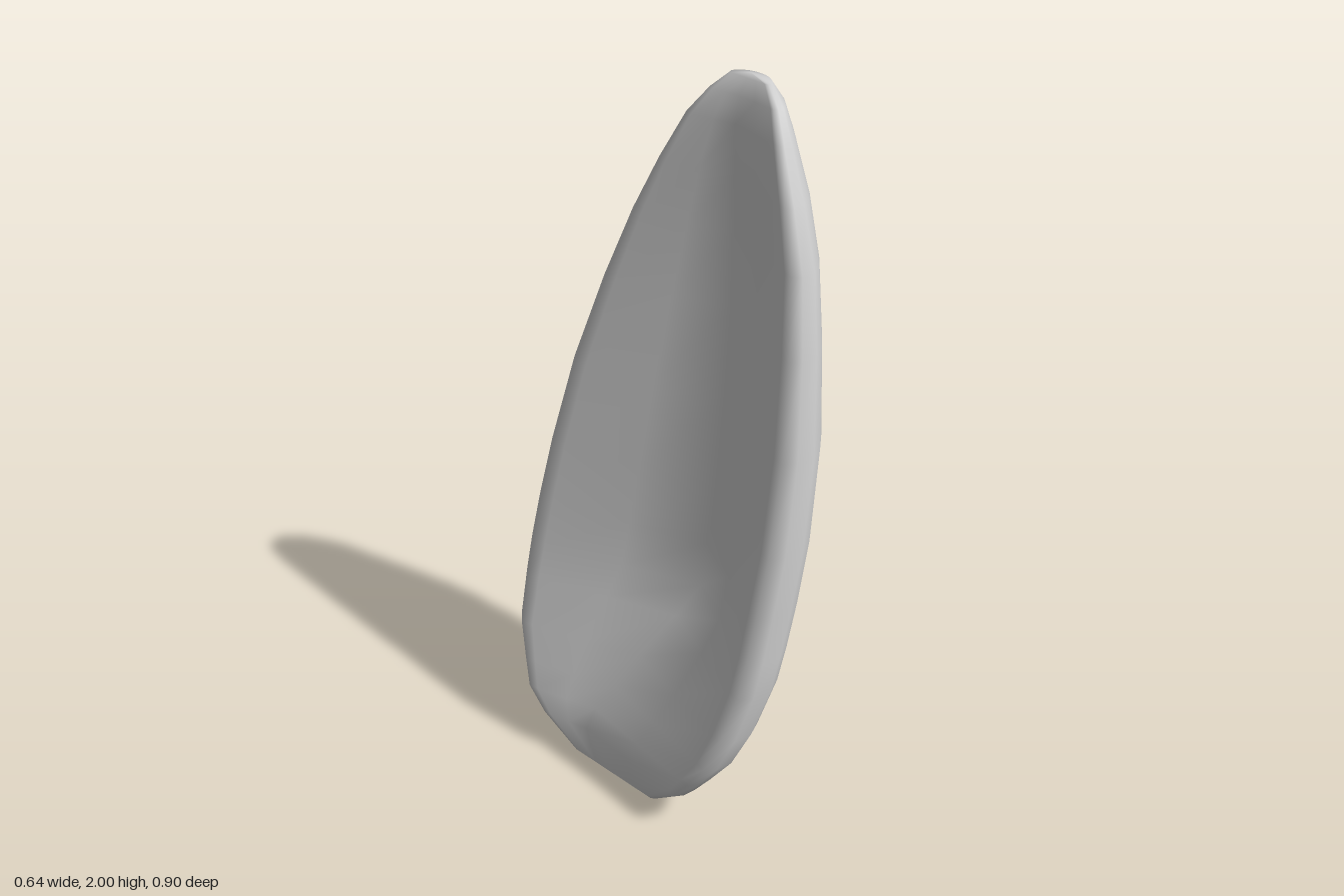
import * as THREE from 'three';

// Stations up the shell: height, rim x, outer back x,
// half width to +z, half width to -z, hollow depth, fold position (share of width)
const STATIONS = [
  [0.005, -0.285, -0.255, 0.06, 0.06, 0, 0],
  [0.03, -0.305, -0.21, 0.17, 0.16, 0, 0],
  [0.12, -0.32, -0.095, 0.285, 0.285, 0.03, -0.4],
  [0.18, -0.314, -0.05, 0.33, 0.358, 0.055, -0.3],
  [0.26, -0.3, 0.0, 0.385, 0.385, 0.085, -0.18],
  [0.36, -0.272, 0.07, 0.42, 0.43, 0.115, -0.06],
  [0.5, -0.23, 0.125, 0.447, 0.442, 0.15, 0.1],
  [0.6, -0.2, 0.16, 0.45, 0.446, 0.175, 0.2],
  [0.73, -0.165, 0.203, 0.45, 0.442, 0.17, 0.2],
  [0.9, -0.117, 0.237, 0.447, 0.43, 0.155, 0.19],
  [1.15, -0.047, 0.282, 0.42, 0.397, 0.13, 0.17],
  [1.4, 0.022, 0.298, 0.37, 0.335, 0.115, 0.12],
  [1.6, 0.077, 0.31, 0.318, 0.272, 0.09, 0.08],
  [1.75, 0.12, 0.32, 0.25, 0.212, 0.062, 0.04],
  [1.88, 0.165, 0.307, 0.178, 0.152, 0.03, 0],
  [1.95, 0.2, 0.296, 0.13, 0.1, 0.01, 0],
  [1.99, 0.235, 0.282, 0.07, 0.06, 0, 0],
];

// Outer back curve from edge to middle: share of width, share of bulge
const REAR_CURVE = [[1, 0], [0.96, 0.17], [0.86, 0.4], [0.7, 0.63], [0.5, 0.82], [0.26, 0.95]];
const FRONT_CURVE = [[1, 0], [0.96, 0.18], [0.86, 0.41], [0.7, 0.67], [0.5, 0.88], [0.26, 0.98]];

// Horizontal section: rounded outer back, narrow rolled rim, V-shaped hollow
function section([, rim, back, front, rear, depth, fold]) {
  const mid = rim + (back - rim) * 0.24;
  const outer = (curve, w) => curve.map(([k, b]) => [mid + (back - mid) * b, k * w]);
  const foldZ = fold * (fold > 0 ? front : rear);
  const inner = (w) => [
    [rim + (mid - rim) * 0.35, 0.97 * w],
    [rim, 0.9 * w],
    [rim + depth * 0.08, 0.82 * w],
    [rim + depth * 0.54, (0.82 * w + foldZ) / 2],
  ];
  return [
    ...outer(REAR_CURVE, -rear),
    [back, 0],
    ...outer(FRONT_CURVE, front).reverse(),
    ...inner(front),
    [rim + depth, foldZ],
    ...inner(-rear).reverse(),
  ];
}

// Skin closed sections and cap both ends with a point
function loft(stations, bottom, top) {
  const pos = [], idx = [];
  let n = 0;
  stations.forEach((s) => {
    const pts = section(s);
    n = pts.length;
    pts.forEach(([x, z]) => pos.push(x, s[0], z));
  });
  const last = (stations.length - 1) * n;
  const lo = last + n, hi = lo + 1;
  pos.push(...bottom, ...top);
  for (let j = 0; j < n; j++) {
    const k = (j + 1) % n;
    for (let r = 0; r < last; r += n) {
      idx.push(r + j, r + n + j, r + k, r + k, r + n + j, r + n + k);
    }
    idx.push(lo, j, k, last + j, hi, last + k);
  }
  const geo = new THREE.BufferGeometry();
  geo.setAttribute('position', new THREE.Float32BufferAttribute(pos, 3));
  geo.setIndex(idx);
  geo.computeVertexNormals();
  return geo;
}

export function createModel() {
  const group = new THREE.Group();
  group.name = 'leaningShell';
  const shell = new THREE.Mesh(
    loft(STATIONS, [-0.27, 0, 0], [0.25, 2, 0]),
    new THREE.MeshStandardMaterial({ color: 0xcccccc })
  );
  shell.name = 'shell';
  group.add(shell);
  return group;
}
